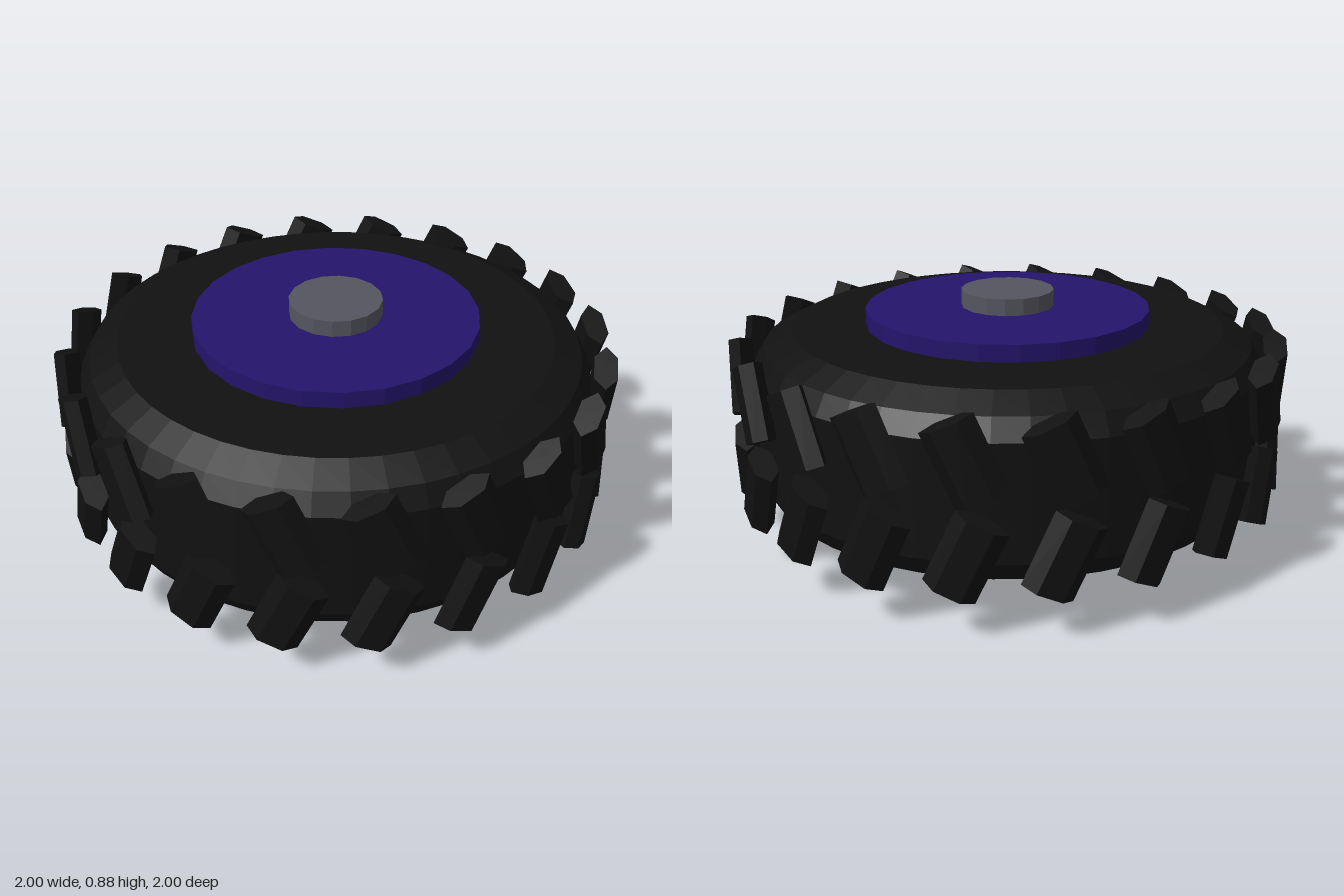
import * as THREE from 'three';

const MID = 0.44; // height of the wheel's middle plane
const LUGS = 20; // lugs per row

function material(color) {
  return new THREE.MeshStandardMaterial({ color, flatShading: true });
}

function part(name, geometry, mat, parent) {
  const mesh = new THREE.Mesh(geometry, mat);
  mesh.name = name;
  parent.add(mesh);
  return mesh;
}

export function createModel() {
  const wheel = new THREE.Group();
  wheel.name = 'wheel';
  const rubber = material(0x111111);

  // Tyre body with bevelled shoulders, mirrored about the middle plane
  const upper = [[0.92, 0.2], [0.88, 0.27], [0.78, 0.32], [0, 0.32]];
  const lower = upper.map(([r, h]) => [r, -h]).reverse();
  const profile = [...lower, ...upper].map(([r, h]) => new THREE.Vector2(r, h));
  part('tyre', new THREE.LatheGeometry(profile, 48), rubber, wheel).position.y = MID;

  // Hub disc and axle stick out on both faces
  part('hub', new THREE.CylinderGeometry(0.515, 0.515, 0.76, 24), material(0x24146b), wheel).position.y = MID;
  part('axle', new THREE.CylinderGeometry(0.168, 0.168, 0.88, 16), material(0x55555f), wheel).position.y = MID;

  // Flattened six-sided lugs, in two rows leaning opposite ways
  const lugShape = new THREE.CylinderGeometry(0.09, 0.09, 0.26, 6, 1, false, Math.PI / 6);
  lugShape.scale(1, 1, 0.52);
  const tread = new THREE.Group();
  tread.name = 'tread';
  wheel.add(tread);
  for (let i = 0; i < LUGS; i++) {
    const pair = new THREE.Group();
    pair.name = 'lugPair';
    pair.rotation.y = (i / LUGS) * Math.PI * 2;
    tread.add(pair);
    for (const side of [1, -1]) {
      const lug = part(side > 0 ? 'upperLug' : 'lowerLug', lugShape, rubber, pair);
      lug.position.set(0, MID + side * 0.157, 0.96);
      lug.rotation.z = side * 0.42;
    }
  }
  return wheel;
}
